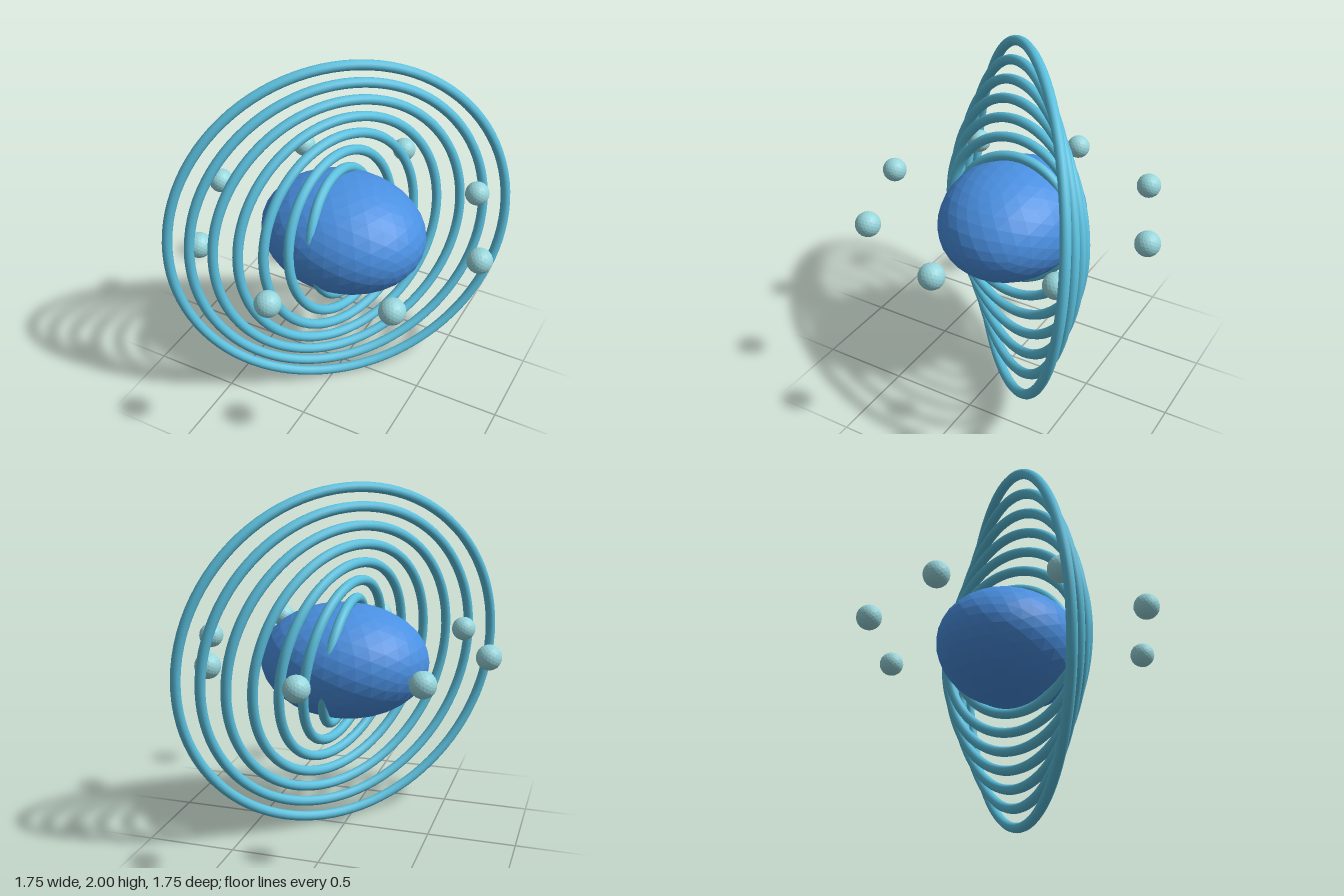
import * as THREE from 'three';

const material = (name, color, flatShading = false) => {
  const m = new THREE.MeshStandardMaterial({ color, flatShading });
  m.name = name;
  return m;
};

export function createModel() {
  const model = new THREE.Group();
  model.name = 'ringedOrb';
  const blue = material('blue', 0x4a90e2, true);
  const cyan = material('cyan', 0x5bc0de);
  const paleAqua = material('paleAqua', 0x98d6dc, true);

  // Squashed faceted core
  const core = new THREE.Mesh(new THREE.IcosahedronGeometry(0.398, 5), blue);
  core.name = 'core';
  core.scale.set(1.2, 0.805, 1);
  core.position.y = 1.005;
  model.add(core);

  // Seven growing rings, each turned further around the core
  const rings = new THREE.Group();
  rings.name = 'rings';
  const torusAxis = new THREE.Vector3(0, 0, 1);
  for (let i = 0; i < 7; i++) {
    const ring = new THREE.Mesh(new THREE.TorusGeometry(0.359 + 0.103 * i, 0.028, 12, 96), cyan);
    ring.name = `ring${i + 1}`;
    const normal = new THREE.Vector3(1, 0.15, 0.178 * i).normalize();
    ring.quaternion.setFromUnitVectors(torusAxis, normal);
    ring.position.y = 1;
    rings.add(ring);
  }
  model.add(rings);

  // Eight small satellites evenly spaced on a level circle
  const satellites = new THREE.Group();
  satellites.name = 'satellites';
  const ball = new THREE.IcosahedronGeometry(0.07, 3);
  for (let i = 0; i < 8; i++) {
    const a = (i * Math.PI) / 4;
    const satellite = new THREE.Mesh(ball, paleAqua);
    satellite.name = `satellite${i + 1}`;
    satellite.position.set(0.807 * Math.cos(a), 1.085, 0.807 * Math.sin(a));
    satellites.add(satellite);
  }
  model.add(satellites);

  return model;
}
